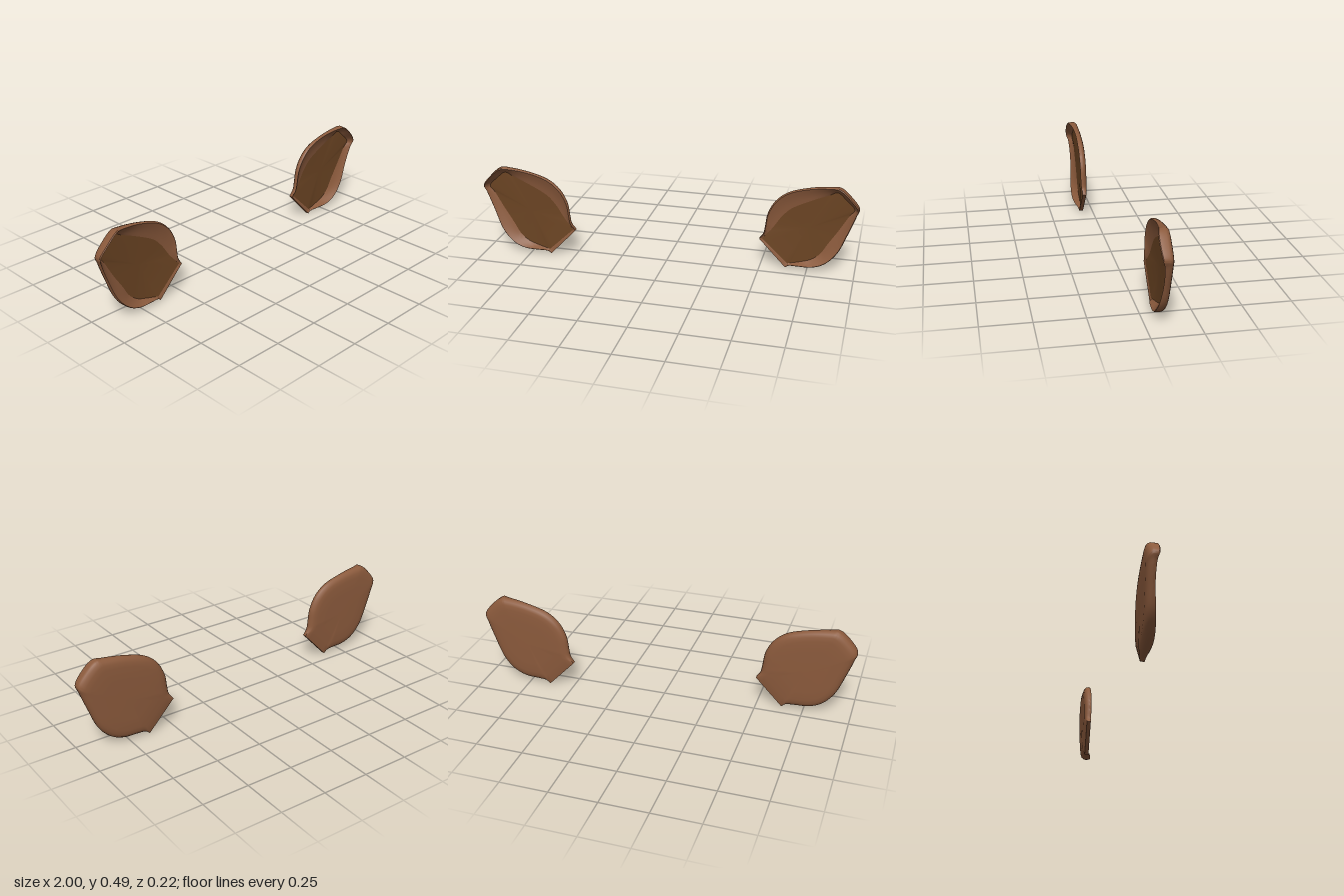
import * as THREE from 'three';
import { toCreasedNormals } from 'three/addons/utils/BufferGeometryUtils.js';

const ARC = 110, NECK = 8;
const V = (x, y, z) => new THREE.Vector3(x, y, z);
const CENTRE = V(0.745, 0.24, 0);

// Rim stations from the lower neck corner around the tip to the upper neck corner:
// outline x, y, rim z, floor edge x, y, z
const STATIONS = [
  [0.635, 0.006, 0.002, 0.645, 0.028, -0.003], [0.655, 0.018, 0.008, 0.67, 0.033, -0.008],
  [0.70, 0.022, 0.016, 0.71, 0.042, -0.012], [0.78, 0.028, 0.022, 0.765, 0.06, -0.014],
  [0.85, 0.06, 0.022, 0.815, 0.10, -0.014], [0.91, 0.13, 0.017, 0.85, 0.16, -0.014],
  [0.955, 0.24, 0.010, 0.90, 0.24, -0.014], [0.99, 0.34, 0.015, 0.95, 0.33, -0.011],
  [1.0, 0.385, 0.028, 0.975, 0.372, -0.006], [0.955, 0.443, 0.034, 0.93, 0.42, -0.006],
  [0.905, 0.485, 0.031, 0.885, 0.455, -0.008], [0.86, 0.488, 0.019, 0.84, 0.435, -0.012],
  [0.75, 0.473, 0.009, 0.75, 0.395, -0.014], [0.64, 0.44, 0.009, 0.655, 0.345, -0.014],
  [0.57, 0.385, 0.009, 0.605, 0.295, -0.014], [0.53, 0.31, 0.008, 0.575, 0.25, -0.013],
  [0.518, 0.235, 0.007, 0.555, 0.22, -0.011], [0.51, 0.19, 0.005, 0.53, 0.19, -0.007],
  [0.49, 0.158, 0.002, 0.505, 0.16, -0.003],
];

// Samples a curved arc, then closes it with the straight neck edge
function loop(points) {
  const curve = new THREE.CatmullRomCurve3(points, false, 'catmullrom', 0.5);
  const out = [];
  for (let i = 0; i <= ARC; i++) out.push(curve.getPoint(i / ARC));
  const a = out[ARC].clone(), b = out[0].clone();
  for (let i = 1; i < NECK; i++) out.push(a.clone().lerp(b, i / NECK));
  return out;
}

// Joins rings of equal length; mirrored rings get reversed winding
function loft(rings, side, crease) {
  const n = rings[0].length, pos = [], index = [];
  rings.forEach(r => r.forEach(p => pos.push(p.x * side, p.y, p.z)));
  const tri = (a, b, c) => index.push(...(side > 0 ? [a, b, c] : [a, c, b]));
  for (let i = 0; i < rings.length - 1; i++) {
    for (let j = 0; j < n; j++) {
      const k = (j + 1) % n, a = i * n + j, b = i * n + k;
      if (rings[i][j].distanceTo(rings[i][k]) > 1e-6) tri(a, b, b + n);
      if (rings[i + 1][j].distanceTo(rings[i + 1][k]) > 1e-6) tri(a, b + n, a + n);
    }
  }
  const g = new THREE.BufferGeometry();
  g.setAttribute('position', new THREE.Float32BufferAttribute(pos, 3));
  g.setIndex(index);
  return toCreasedNormals(g, crease);
}

function createEar(side) {
  const rim = loop(STATIONS.map(s => V(s[0], s[1], s[2])));
  const floor = loop(STATIONS.map(s => V(s[3], s[4], s[5])));
  // 0 along the squared-off neck, 1 along the rounded edge
  const round = rim.map((_, j) => j > ARC ? 0 : Math.min(1, 13 * Math.min(j / ARC, 1 - j / ARC)));
  const mix = THREE.MathUtils.lerp;
  const ring = (scale, z, neckScale, neckZ) => rim.map((p, j) => {
    const s = mix(neckScale, scale, round[j]);
    return V(mix(CENTRE.x, p.x, s), mix(CENTRE.y, p.y, s),
      mix(neckZ ?? p.z, z ?? p.z, round[j]));
  });

  // Back, rounded side, lip and sloping inner wall
  const shell = [
    ring(0, -0.033, 0, -0.033), ring(0.5, -0.033, 0.5, -0.032), ring(0.78, -0.032, 0.8, -0.028),
    ring(0.88, -0.029, 0.92, -0.024), ring(0.95, -0.023, 0.98, -0.021),
    ring(0.985, -0.014, 1, -0.02), ring(1, -0.003, 1, -0.01),
  ];
  const lip = ring(0.975, null, 0.995, null);
  const shoulder = ring(0.992, null, 1, null);
  shoulder.forEach((p, j) => { p.z -= 0.004 * round[j]; });
  shell.push(shoulder, lip);
  for (const t of [0.25, 0.5, 0.75, 1]) {
    shell.push(lip.map((p, j) => {
      const q = p.clone().lerp(floor[j], t);
      q.z -= 0.003 * Math.sin(Math.PI * t) * round[j];
      return q;
    }));
  }

  // Shallow floor of the dish
  const middle = V(CENTRE.x, CENTRE.y, -0.015);
  const dish = [0, 0.35, 0.7, 1].map(t => floor.map(p => {
    const q = p.clone().lerp(middle, t);
    q.z = mix(p.z, middle.z, Math.sin(t * Math.PI / 2));
    return q;
  }));

  const ear = new THREE.Group();
  ear.name = side > 0 ? 'leftEar' : 'rightEar';
  const add = (name, rings, color) => {
    const mesh = new THREE.Mesh(loft(rings, side, 0.7), new THREE.MeshStandardMaterial({ color }));
    mesh.name = name;
    ear.add(mesh);
  };
  add('earShell', shell, 0x8b5a3c);
  add('innerEar', dish, 0x6b4423);
  return ear;
}

export function createModel() {
  const model = new THREE.Group();
  model.name = 'earPair';
  const left = createEar(1), right = createEar(-1);
  // The two ears are staggered in depth
  left.position.set(0, -0.003, -0.0765);
  right.position.set(0, 0.001, 0.0765);
  model.add(left, right);
  return model;
}
